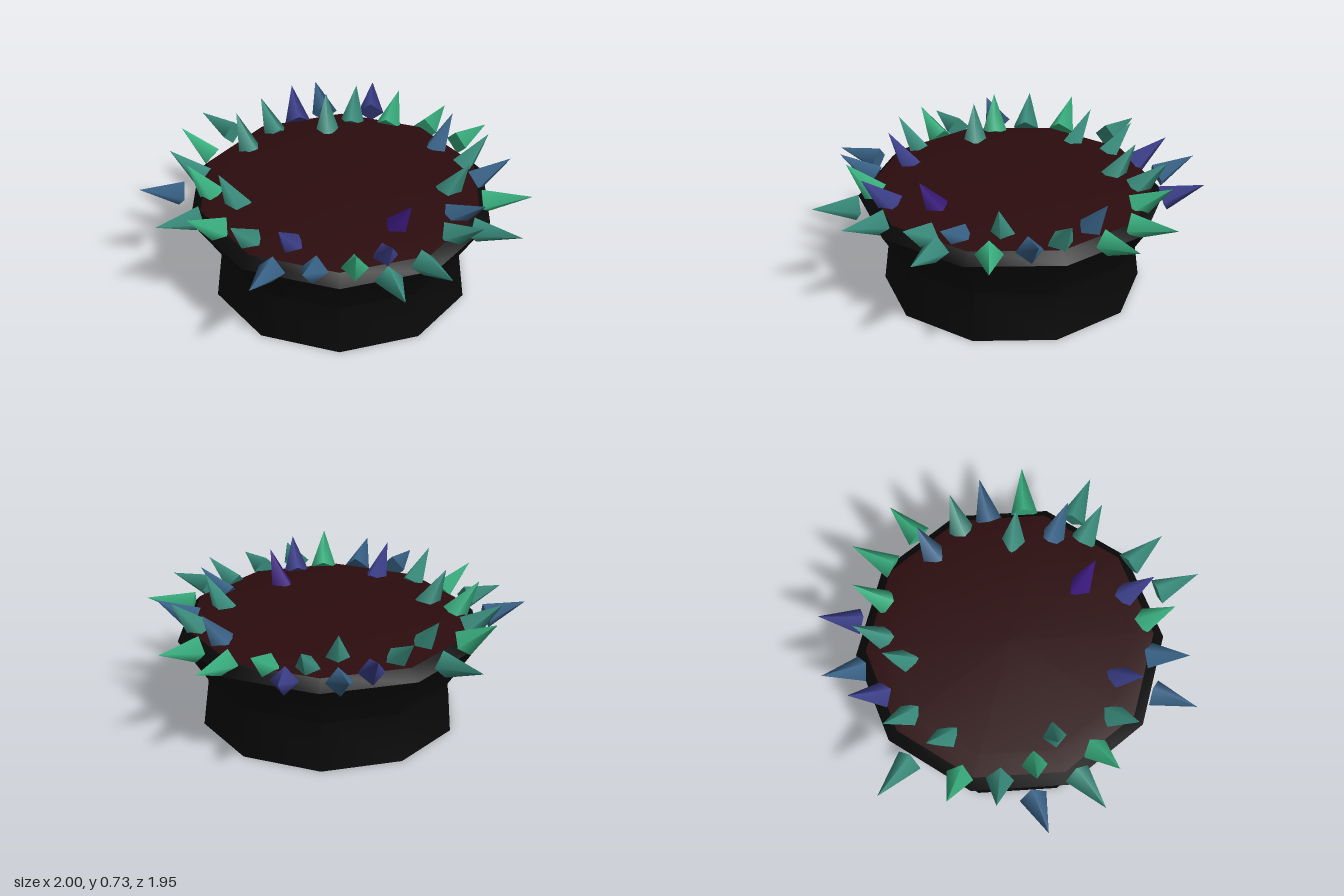
import * as THREE from 'three';
import { toCreasedNormals } from 'three/addons/utils/BufferGeometryUtils.js';

const mat = (name, color) => {
  const m = new THREE.MeshStandardMaterial({ color });
  m.name = name;
  return m;
};

// Ten-sided turned form, with a corner on the +x axis
const turned = (profile) => toCreasedNormals(
  new THREE.LatheGeometry(profile.map(([r, y]) => new THREE.Vector2(r, y)), 10, Math.PI / 10), 0.8);

// Each spike: colour letter, base x, base z, tip x, tip z
const SPIKES = [
  // back
  ['g', -0.18, -0.71, -0.28, -0.93], ['g', 0.03, -0.76, 0.01, -0.98], ['g', -0.33, -0.57, -0.43, -0.72],
  ['i', -0.50, -0.58, -0.66, -0.71], ['b', 0.02, -0.62, 0.01, -0.74], ['t', 0.22, -0.64, 0.26, -0.78],
  ['b', 0.37, -0.60, 0.45, -0.77], ['t', 0.38, -0.41, 0.46, -0.48], ['g', 0.54, -0.51, 0.69, -0.71],
  // right side
  ['t', -0.46, -0.42, -0.57, -0.53], ['b', -0.65, -0.37, -0.84, -0.44], ['i', -0.65, -0.19, -0.81, -0.26],
  ['t', -0.45, -0.25, -0.55, -0.31], ['t', -0.61, -0.02, -0.77, -0.03], ['t', -0.76, 0.16, -1.00, 0.21],
  ['t', -0.54, 0.19, -0.67, 0.19], ['g', -0.62, 0.38, -0.77, 0.47],
  // front
  ['t', -0.48, 0.52, -0.60, 0.64], ['b', -0.41, 0.69, -0.48, 0.89], ['g', -0.30, 0.57, -0.37, 0.67],
  ['t', -0.17, 0.74, -0.18, 0.97], ['t', -0.13, 0.52, -0.18, 0.60], ['g', -0.02, 0.70, -0.02, 0.88],
  ['t', 0.16, 0.63, 0.20, 0.77], ['i', 0.31, 0.49, 0.37, 0.61], ['b', 0.40, 0.67, 0.51, 0.87],
  ['b', 0.52, 0.51, 0.64, 0.66],
  // left side
  ['g', 0.62, 0.35, 0.74, 0.43], ['t', 0.78, 0.27, 1.00, 0.34], ['i', 0.63, 0.18, 0.77, 0.24],
  ['t', 0.77, 0.06, 1.00, 0.06], ['p', 0.48, 0.00, 0.59, -0.01], ['t', 0.67, -0.19, 0.85, -0.25],
  ['t', 0.71, -0.32, 0.93, -0.43], ['b', 0.55, -0.30, 0.72, -0.37],
];

export function createModel() {
  const model = new THREE.Group();
  model.name = 'spikedPedestal';
  const black = mat('black', 0x0a0a0a);
  const darkRed = mat('dark red', 0x2c0c0e);
  const spikeMats = {
    g: mat('green', 0x3bb483),
    t: mat('teal', 0x3b9080),
    b: mat('blue', 0x3b668c),
    i: mat('indigo', 0x3d408c),
    p: mat('purple', 0x3c1a80),
  };

  // Waisted body with closed underside and bevelled rim
  const body = new THREE.Mesh(
    turned([[0, 0], [0.672, 0], [0.64, 0.25], [0.79, 0.485], [0.735, 0.54]]), black);
  body.name = 'body';
  body.position.x = 0.018;
  model.add(body);

  // Slightly raised top surface
  const top = new THREE.Mesh(turned([[0.735, 0.54], [0.62, 0.56], [0, 0.565]]), darkRed);
  top.name = 'topSurface';
  top.position.x = 0.018;
  model.add(top);

  // Four-sided spikes leaning outwards; those with a shorter reach stand steeper
  const spikes = new THREE.Group();
  spikes.name = 'spikes';
  const outward = new THREE.Vector3();
  for (const [colour, bx, bz, tx, tz] of SPIKES) {
    const reach = Math.hypot(tx - bx, tz - bz);
    const rise = Math.max(0.03, Math.sqrt(Math.max(0, 0.22 ** 2 - reach ** 2)));
    const length = Math.hypot(reach, rise);
    const geo = new THREE.ConeGeometry(0.07, length, 4);
    geo.translate(0, length / 2, 0);
    geo.rotateX(Math.PI / 2);
    const spike = new THREE.Mesh(geo, spikeMats[colour]);
    spike.name = 'spike';
    spike.position.set(bx, 0.535, bz);
    spike.lookAt(outward.set(tx, 0.535 + rise, tz));
    spikes.add(spike);
  }
  model.add(spikes);
  return model;
}
